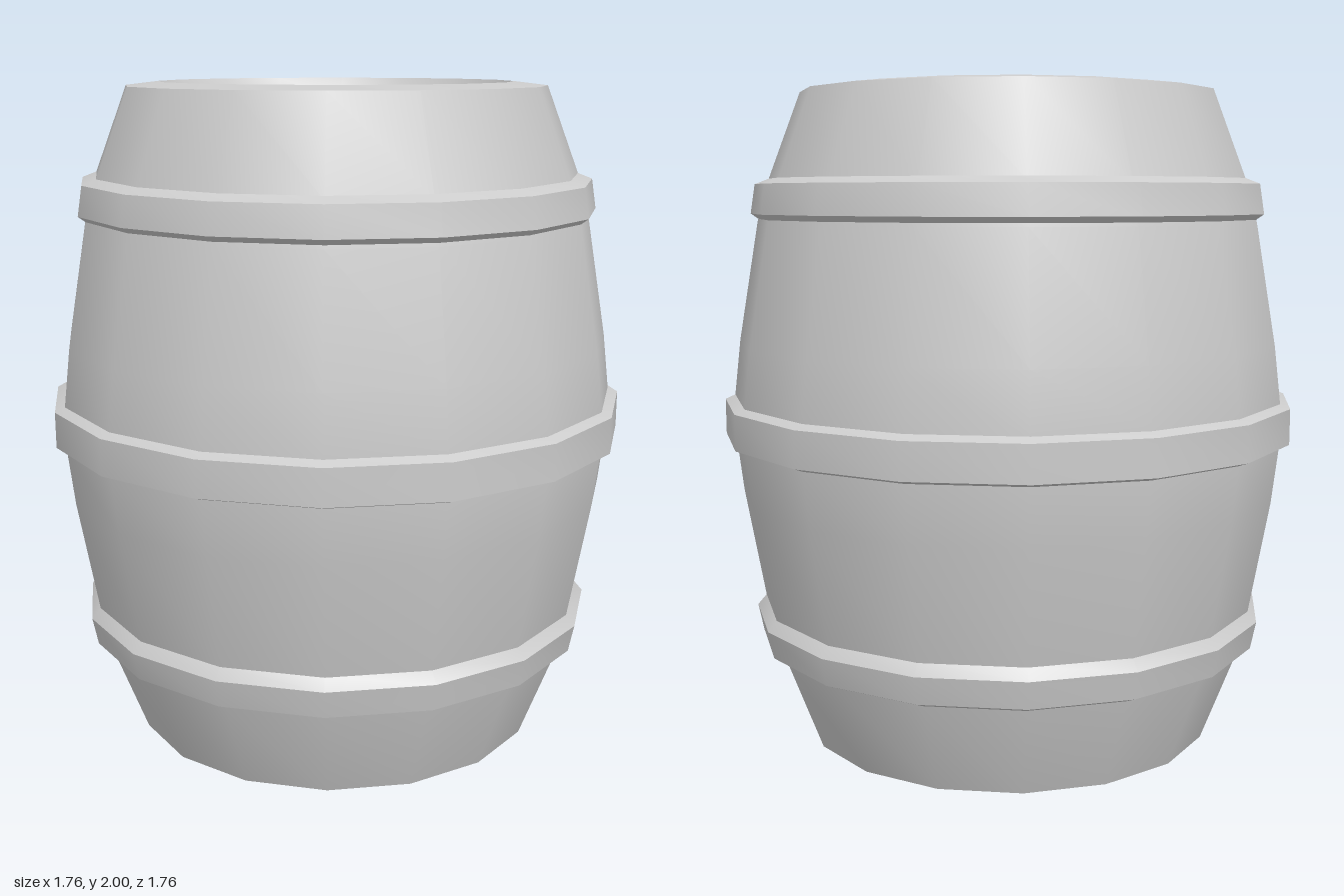
import * as THREE from 'three';
import { toCreasedNormals } from 'three/addons/utils/BufferGeometryUtils.js';

const SIDES = 16;

export function createModel() {
  const barrel = new THREE.Group();
  barrel.name = 'barrel';
  const grey = new THREE.MeshStandardMaterial({ color: 0xcccccc });
  grey.name = 'plain grey';

  const add = (name, geometry) => {
    const mesh = new THREE.Mesh(geometry, grey);
    mesh.name = name;
    barrel.add(mesh);
    return mesh;
  };

  // Revolve a bottom-to-top profile: smooth around, sharp at strong folds
  const revolve = (name, profile) => {
    const points = profile.map(([r, y]) => new THREE.Vector2(r, y));
    return add(name, toCreasedNormals(new THREE.LatheGeometry(points, SIDES), 0.45));
  };

  // Bulging staves with a rim and a sloped recess at both ends
  revolve('staves', [
    [0.49, 0.065], [0.53, 0], [0.63, 0.014],
    [0.735, 0.29], [0.768, 0.43], [0.828, 0.77], [0.848, 0.94],
    [0.848, 1.07], [0.828, 1.24], [0.766, 1.6], [0.733, 1.72],
    [0.63, 1.988], [0.53, 2], [0.49, 1.935],
  ]);

  // Recessed end panels
  for (const [name, y, turn] of [['topPanel', 1.935, -1], ['bottomPanel', 0.065, 1]]) {
    const panel = add(name, new THREE.CircleGeometry(0.49, SIDES));
    panel.rotation.x = turn * Math.PI / 2;
    panel.position.y = y;
  }

  // Bevelled hoops
  revolve('lowerHoop', [[0.735, 0.296], [0.778, 0.315], [0.795, 0.398], [0.765, 0.433]]);
  revolve('middleHoop', [[0.84, 0.936], [0.878, 0.95], [0.878, 1.057], [0.84, 1.074]]);
  revolve('upperHoop', [[0.755, 1.604], [0.786, 1.626], [0.772, 1.714], [0.728, 1.731]]);

  return barrel;
}
